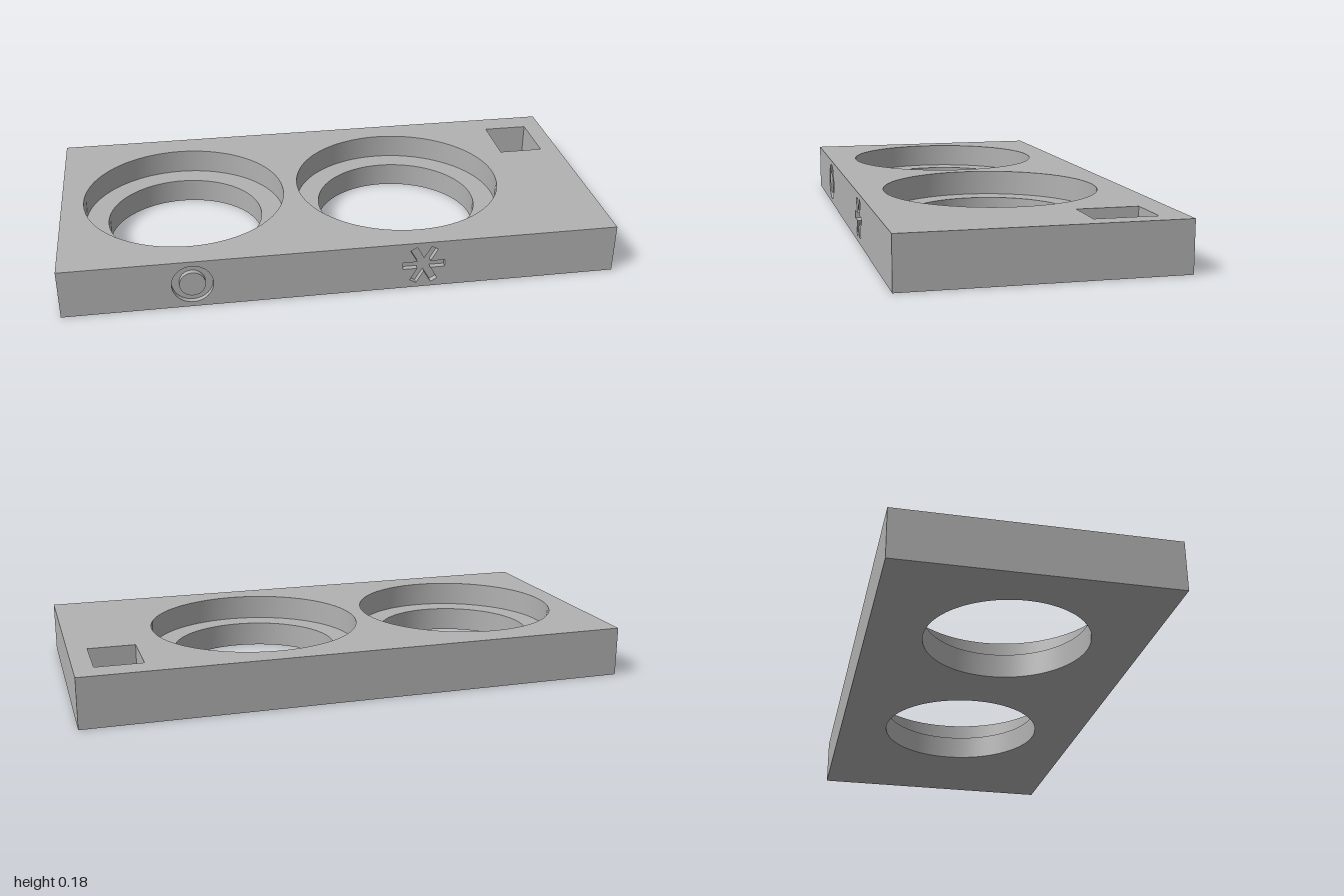
import * as THREE from 'three';
import { toCreasedNormals } from 'three/addons/utils/BufferGeometryUtils.js';

const H = 0.182, LEDGE = 0.091, HALF_D = 0.485, GROOVE = 0.02, POCKET_FLOOR = 0.03;

// Counter-clockwise outlines
const circle = (x, y, r, n = 96) => Array.from({ length: n }, (_, i) => {
  const a = (i / n) * Math.PI * 2;
  return new THREE.Vector2(x + r * Math.cos(a), y + r * Math.sin(a));
});
const rect = (x0, y0, x1, y1) =>
  [[x0, y0], [x1, y0], [x1, y1], [x0, y1]].map(p => new THREE.Vector2(...p));
const star = (x, y, length, width) => {
  const points = [];
  for (let k = 0; k < 6; k++) {
    const a = (k * Math.PI) / 3, c = Math.cos(a), s = Math.sin(a), h = width / 2;
    for (const v of [-h, h]) points.push(new THREE.Vector2(x + length * c - v * s, y + length * s + v * c));
    const n = a + Math.PI / 6;
    points.push(new THREE.Vector2(x + width * Math.cos(n), y + width * Math.sin(n)));
  }
  return points;
};

// Flat face with holes, facing +z at the given height
function face(outline, holes = [], z = 0) {
  const shape = new THREE.Shape(outline);
  shape.holes = holes.map(h => new THREE.Path(h));
  return new THREE.ShapeGeometry(shape).translate(0, 0, z);
}

// Wall around an outline, facing inwards (reverse the outline to face outwards)
function wall(outline, z0, z1) {
  const pos = [];
  outline.forEach((a, i) => {
    const b = outline[(i + 1) % outline.length];
    pos.push(b.x, b.y, z0, a.x, a.y, z0, a.x, a.y, z1, b.x, b.y, z0, a.x, a.y, z1, b.x, b.y, z1);
  });
  const geo = new THREE.BufferGeometry();
  geo.setAttribute('position', new THREE.Float32BufferAttribute(pos, 3));
  return toCreasedNormals(geo, 0.5);
}

export function createModel() {
  const model = new THREE.Group();
  model.name = 'holderPlate';
  const grey = new THREE.MeshStandardMaterial({ color: 0xb2b2b2 });
  grey.name = 'grey';
  const add = (parent, name, geo) => {
    const mesh = new THREE.Mesh(geo, grey);
    mesh.name = name;
    parent.add(mesh);
    return mesh;
  };

  // Horizontal parts: drawn in plan, with local z as height
  const plan = new THREE.Group();
  plan.name = 'plateAndHoles';
  plan.rotation.x = -Math.PI / 2;
  model.add(plan);

  const holes = [
    { name: 'rightHole', x: -0.54, outer: 0.378, inner: 0.292 },
    { name: 'leftHole', x: 0.285, outer: 0.39, inner: 0.305 },
  ];
  const plate = rect(-1, -HALF_D, 1, HALF_D);
  const pocket = rect(0.76, 0.17, 0.93, 0.39);
  const wide = holes.map(h => circle(h.x, 0, h.outer));
  const narrow = holes.map(h => circle(h.x, 0, h.inner));

  add(plan, 'topFace', face(plate, [...wide, pocket], H));
  const under = holes.map(h => circle(h.x, 0, h.inner));
  add(plan, 'bottomFace', face(plate, under).rotateX(Math.PI));

  // Stepped through holes
  holes.forEach((h, i) => {
    add(plan, h.name + 'UpperWall', wall(wide[i], LEDGE, H));
    add(plan, h.name + 'Ledge', face(wide[i], [narrow[i]], LEDGE));
    add(plan, h.name + 'LowerWall', wall(narrow[i], 0, LEDGE));
  });

  // Square corner pocket
  add(plan, 'pocketWalls', wall(pocket, POCKET_FLOOR, H));
  add(plan, 'pocketFloor', face(pocket, [], POCKET_FLOOR));

  // Plain sides and back
  for (const s of [-1, 1]) {
    const side = add(model, s > 0 ? 'leftSide' : 'rightSide', new THREE.PlaneGeometry(HALF_D * 2, H));
    side.rotation.y = (s * Math.PI) / 2;
    side.position.set(s, H / 2, 0);
  }
  const back = add(model, 'backSide', new THREE.PlaneGeometry(2, H));
  back.rotation.y = Math.PI;
  back.position.set(0, H / 2, -HALF_D);

  // Front side with an engraved ring and a six-armed star
  const front = new THREE.Group();
  front.name = 'frontSide';
  front.position.z = HALF_D;
  model.add(front);
  const ringOuter = circle(-0.54, H / 2, 0.073, 64);
  const ringInner = circle(-0.54, H / 2, 0.046, 64);
  const arms = star(0.285, H / 2, 0.077, 0.027);
  add(front, 'frontFace', face(rect(-1, 0, 1, H), [ringOuter, arms]));
  add(front, 'ringCentre', face(ringInner));
  add(front, 'ringFloor', face(ringOuter, [ringInner], -GROOVE));
  add(front, 'ringOuterWall', wall(ringOuter, -GROOVE, 0));
  add(front, 'ringInnerWall', wall([...ringInner].reverse(), -GROOVE, 0));
  add(front, 'starFloor', face(arms, [], -GROOVE));
  add(front, 'starWalls', wall(arms, -GROOVE, 0));

  return model;
}
